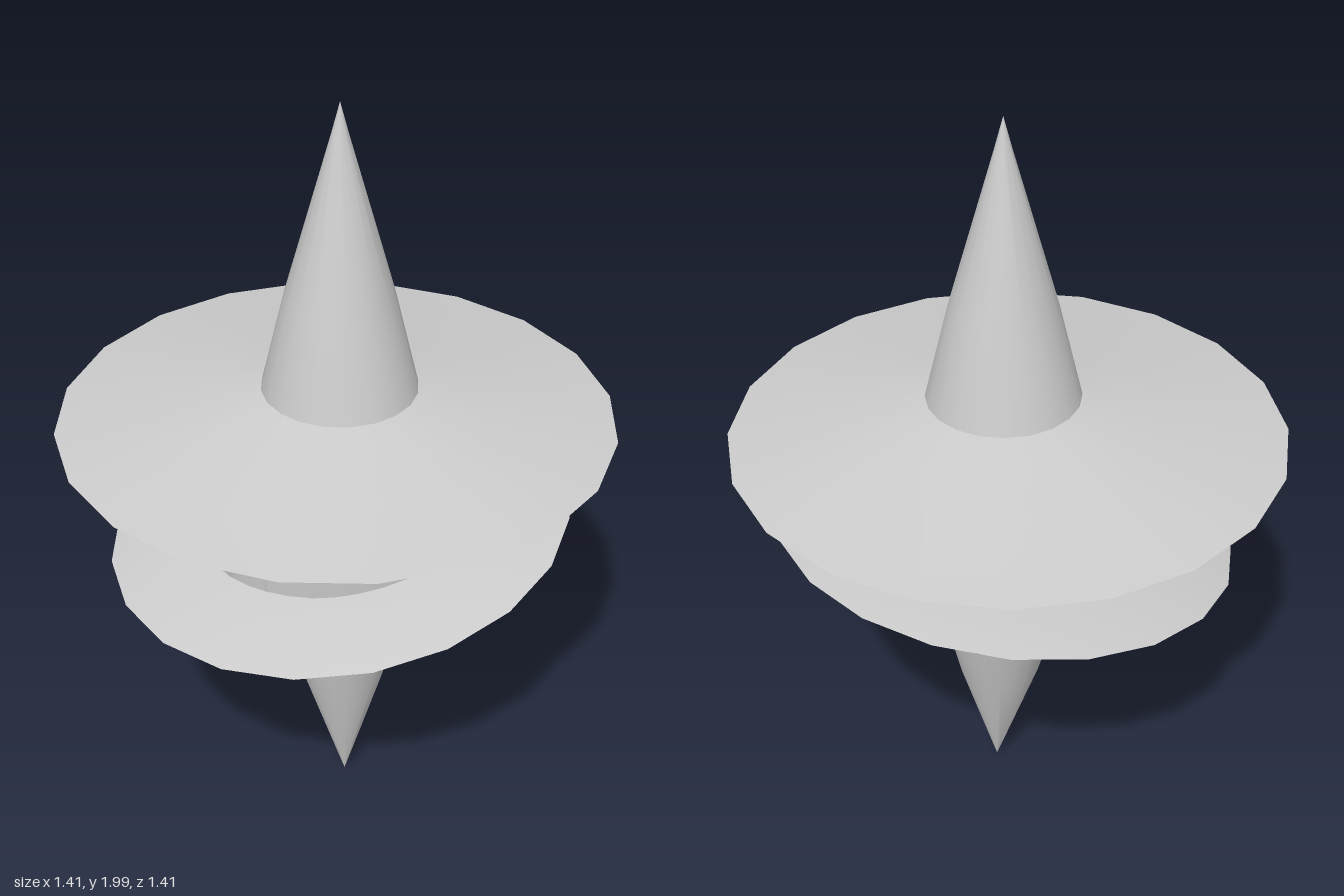
import * as THREE from 'three';
import { toCreasedNormals } from 'three/addons/utils/BufferGeometryUtils.js';

const material = new THREE.MeshStandardMaterial({ color: 0xcccccc, side: THREE.DoubleSide });

// Turned part: profile runs bottom to top as [radius, y]; edit moves each vertex.
function turned(name, profile, edit, sides = 20) {
  const geometry = new THREE.LatheGeometry(profile.map(([r, y]) => new THREE.Vector2(r, y)), sides);
  const pos = geometry.attributes.position;
  const v = new THREE.Vector3();
  for (let i = 0; i < pos.count; i++) {
    v.fromBufferAttribute(pos, i);
    edit(v);
    pos.setXYZ(i, v.x, v.y, v.z);
  }
  const mesh = new THREE.Mesh(toCreasedNormals(geometry, 0.6), material);
  mesh.name = name;
  return mesh;
}

const shiftZ = (z) => (v) => { v.z += z; };

// Depth of the slanted eye opening below the brim, by angle from the front.
function eyeCut(angle) {
  const inner = 11, tip = 36, outer = 53, depth = 0.11;
  if (angle <= inner || angle >= outer) return 0;
  return depth * (angle < tip ? (angle - inner) / (tip - inner) : (outer - angle) / (outer - tip));
}

export function createModel() {
  const model = new THREE.Group();

  // Hat: pointed crown set a little forward on a wide brim
  model.add(turned('hatCrown', [[0.197, 1.25], [0.135, 1.51], [0.021, 1.92], [0, 2]], shiftZ(0.02)));
  model.add(turned('hatBrim',
    [[0, 1.14], [0.38, 1.14], [0.703, 1.155], [0.4, 1.21], [0.19, 1.256]],
    (v) => { v.z += 0.02 * (1 - Math.hypot(v.x, v.z) / 0.703); }));

  // Head wall, with its upper edge notched to open the two eyes
  model.add(turned('headWall', [[0.366, 0.78], [0.39, 1.14], [0.37, 1.14]], (v) => {
    if (v.y > 1.1) v.y -= eyeCut(Math.abs(Math.atan2(v.x, v.z)) * 180 / Math.PI);
    v.z += 0.02;
  }, 40));
  model.add(turned('eyeBacking', [[0.355, 0.82], [0.372, 1.145]], shiftZ(0.02), 40));

  // Rounded lower body
  model.add(turned('body',
    [[0.12, 0.545], [0.157, 0.545], [0.245, 0.61], [0.338, 0.73], [0.372, 0.85], [0.378, 0.93]],
    (v) => { v.z += v.y < 0.6 ? 0.035 : 0.018; }));

  // Tapering tail whose point drifts forward
  model.add(turned('tail', [[0, 0.01], [0.022, 0.08], [0.11, 0.365], [0.155, 0.55]],
    (v) => { v.z += 0.055 - 0.037 * v.y; }));

  // Tilted collar
  const collar = turned('collar',
    [[0.36, -0.02], [0.598, 0], [0.382, 0.056], [0.36, 0.056]], shiftZ(0.014));
  collar.position.y = 0.852;
  collar.rotation.z = 0.157;
  model.add(collar);

  return model;
}
